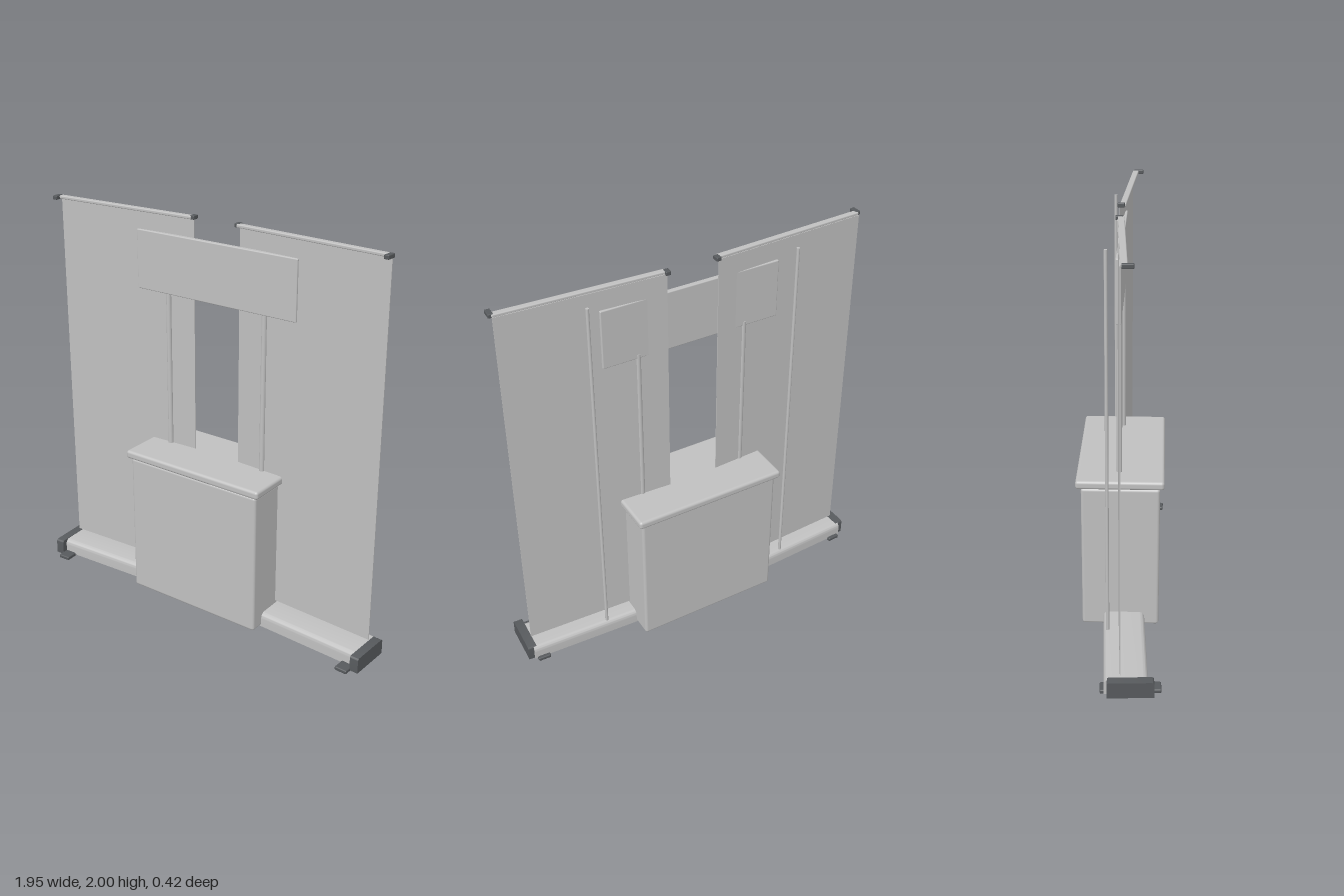
import * as THREE from 'three';
import { RoundedBoxGeometry } from 'three/addons/geometries/RoundedBoxGeometry.js';
import { toCreasedNormals } from 'three/addons/utils/BufferGeometryUtils.js';

const lightGrey = new THREE.MeshStandardMaterial({ color: 0xc0c0c0 });
lightGrey.name = 'lightGrey';
const darkGrey = new THREE.MeshStandardMaterial({ color: 0x575a5d });
darkGrey.name = 'darkGrey';

function add(parent, name, geometry, material, x, y, z) {
  const mesh = new THREE.Mesh(geometry, material);
  mesh.name = name;
  mesh.position.set(x, y, z);
  parent.add(mesh);
  return mesh;
}

// Box with softened edges
const rounded = (w, h, d, r) => new RoundedBoxGeometry(w, h, d, 3, r);

// Rail along x, centred, flat underneath with rounded upper edges
function rail(length, height, depth, r) {
  const d = depth / 2;
  const s = new THREE.Shape();
  s.moveTo(-d, 0);
  s.lineTo(d, 0);
  s.lineTo(d, height - r);
  s.quadraticCurveTo(d, height, d - r, height);
  s.lineTo(-d + r, height);
  s.quadraticCurveTo(-d, height, -d, height - r);
  s.closePath();
  const g = new THREE.ExtrudeGeometry(s, { depth: length, bevelEnabled: false, curveSegments: 8 });
  g.translate(0, 0, -length / 2);
  g.rotateY(Math.PI / 2);
  return toCreasedNormals(g, 0.6);
}

// Roll-up banner; side is +1 for left, -1 for right, outer end swung forward
function banner(side) {
  const g = new THREE.Group();
  g.name = side > 0 ? 'leftBanner' : 'rightBanner';
  g.rotation.y = -side * 0.05;

  add(g, 'bannerPanel', new THREE.BoxGeometry(0.8, 1.885, 0.004), lightGrey, side * 0.53, 1.0425, -0.025);

  // Top rail and its end caps
  add(g, 'topRail', rounded(0.8, 0.016, 0.03, 0.005), lightGrey, side * 0.53, 1.99, -0.009);
  add(g, 'topRailInnerCap', rounded(0.025, 0.02, 0.034, 0.004), darkGrey, side * 0.127, 1.99, -0.018);
  add(g, 'topRailOuterCap', rounded(0.025, 0.02, 0.05, 0.004), darkGrey, side * 0.932, 1.99, 0.006);

  // Base cassette, end caps and feet
  add(g, 'baseCassette', rail(0.83, 0.075, 0.2, 0.03), lightGrey, side * 0.525, 0.01, 0);
  add(g, 'baseOuterCap', rail(0.045, 0.08, 0.215, 0.014), darkGrey, side * 0.947, 0.007, 0.02);
  add(g, 'baseInnerCap', rail(0.03, 0.078, 0.205, 0.014), darkGrey, side * 0.105, 0.008, 0);
  add(g, 'outerFoot', rounded(0.065, 0.02, 0.28, 0.006), darkGrey, side * 0.895, 0.01, 0.022);
  add(g, 'innerFoot', rounded(0.055, 0.012, 0.22, 0.004), darkGrey, side * 0.115, 0.006, 0);

  // Rear support pole
  add(g, 'supportPole', new THREE.CylinderGeometry(0.008, 0.008, 1.88, 16), lightGrey, side * 0.533, 1.01, -0.08);
  return g;
}

export function createModel() {
  const model = new THREE.Group();
  model.name = 'promotionStand';

  // Counter
  add(model, 'counterBody', rounded(0.76, 0.74, 0.375, 0.014), lightGrey, -0.003, 0.385, 0.002);
  add(model, 'counterNeck', new THREE.BoxGeometry(0.7, 0.03, 0.32), lightGrey, 0, 0.757, 0);
  add(model, 'counterTop', rounded(0.802, 0.042, 0.42, 0.014), lightGrey, 0, 0.78, 0);

  // Header sign on two posts
  add(model, 'headerSign', rounded(0.92, 0.296, 0.025, 0.005), lightGrey, 0, 1.742, -0.003);
  for (const side of [1, -1]) {
    add(model, 'headerPost', new THREE.CylinderGeometry(0.013, 0.013, 0.83, 20), lightGrey, side * 0.28, 1.2, -0.006);
    model.add(banner(side));
  }
  return model;
}
